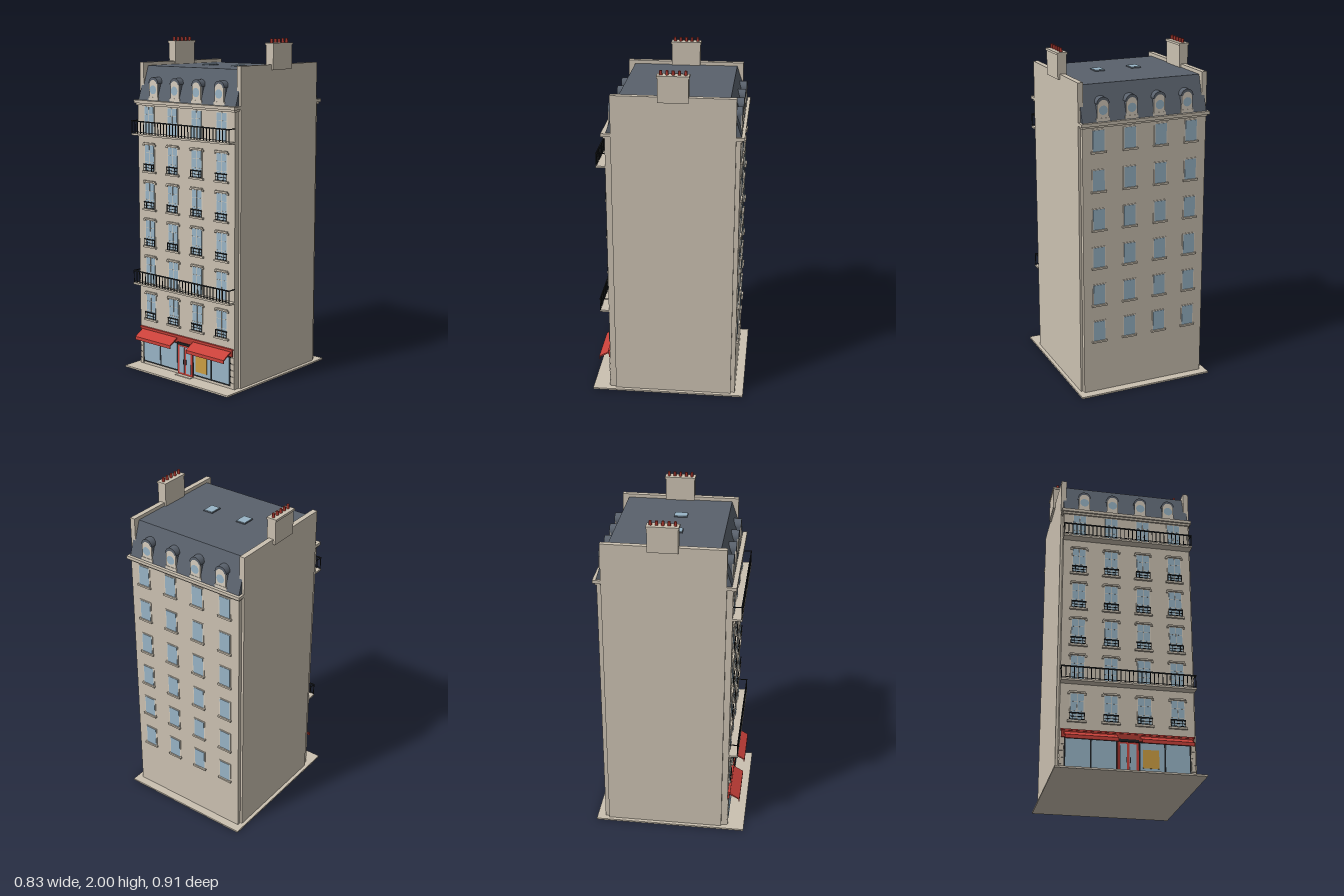
import * as THREE from 'three';

const mat = (name, color) => {
  const m = new THREE.MeshStandardMaterial({ color });
  m.name = name;
  return m;
};

export function createModel() {
  const stone = mat('stone', 0xcbc1b1);
  const trim = mat('paleTrim', 0xd6cdbe);
  const slate = mat('slate', 0x59616c);
  const iron = mat('blackIron', 0x1f2224);
  const glass = mat('glass', 0x98b4c6);
  const red = mat('redPaint', 0xc9413a);
  const darkRed = mat('darkRed', 0xb03a31);
  const gold = mat('goldPoster', 0xcb9e43);

  const model = new THREE.Group();
  model.name = 'townhouse';

  const add = (parent, name, geo, m, x = 0, y = 0, z = 0) => {
    const mesh = new THREE.Mesh(geo, m);
    mesh.name = name;
    mesh.position.set(x, y, z);
    parent.add(mesh);
    return mesh;
  };
  // box given by its min and max on each axis
  const box = (parent, name, m, x0, x1, y0, y1, z0, z1) =>
    add(parent, name, new THREE.BoxGeometry(x1 - x0, y1 - y0, z1 - z0), m,
      (x0 + x1) / 2, (y0 + y1) / 2, (z0 + z1) / 2);
  // [z, y] profile swept along x
  const sweep = (parent, name, m, pts, width, x = 0) => {
    const shape = new THREE.Shape(pts.map(p => new THREE.Vector2(...p)));
    const geo = new THREE.ExtrudeGeometry(shape, { depth: width, bevelEnabled: false });
    geo.translate(0, 0, -width / 2).rotateY(-Math.PI / 2);
    return add(parent, name, geo, m, x);
  };
  const group = (name, x = 0, y = 0, z = 0, parent = model) => {
    const g = new THREE.Group();
    g.name = name;
    g.position.set(x, y, z);
    parent.add(g);
    return g;
  };

  const FRONT = 0.352, BACK = -0.405;
  const columns = [-0.285, -0.095, 0.095, 0.285];
  const floorY = i => 0.3 + 0.2275 * i;

  // Pavement, main block and party walls
  box(model, 'pavement', stone, -0.415, 0.415, 0, 0.01, -0.455, 0.455);
  box(model, 'mainBlock', stone, -0.38, 0.38, 0.01, 1.62, BACK, FRONT);
  for (const s of [-1, 1]) {
    const p = box(model, 'partyWall', stone, -0.0155, 0.0155, 0.01, 1.855, -0.38, 0.317);
    p.position.x = s * 0.3785;
  }

  // Cornices in two steps, front and back
  box(model, 'frontCornice', stone, -0.394, 0.394, 1.617, 1.635, 0.317, 0.372);
  box(model, 'frontCorniceLower', stone, -0.386, 0.386, 1.605, 1.617, 0.32, 0.362);
  box(model, 'backCornice', stone, -0.394, 0.394, 1.617, 1.635, -0.427, -0.38);
  box(model, 'backCorniceLower', stone, -0.386, 0.386, 1.605, 1.617, -0.415, -0.383);

  // Mansard roof
  sweep(model, 'mansardRoof', slate,
    [[-0.41, 1.632], [0.347, 1.632], [0.278, 1.835], [-0.342, 1.835]], 0.76);
  for (const x of [-0.114, 0.114]) {
    box(model, 'skylightFrame', slate, x - 0.031, x + 0.031, 1.83, 1.84, -0.035, 0.043);
    box(model, 'skylightGlass', glass, x - 0.028, x + 0.028, 1.84, 1.843, -0.032, 0.04);
  }

  // Dormers, modelled facing +z with the face at z = 0
  const dormer = (x, z, turn) => {
    const d = group('dormer', x, 0, z);
    d.rotation.y = turn;
    box(d, 'dormerBody', slate, -0.032, 0.032, 1.635, 1.735, -0.06, -0.004);
    box(d, 'dormerFace', trim, -0.034, 0.034, 1.64, 1.74, -0.006, 0);
    box(d, 'dormerFoot', trim, -0.04, 0.04, 1.637, 1.655, -0.008, 0.002);
    const hood = new THREE.CylinderGeometry(0.038, 0.038, 0.055, 20, 1, false, -Math.PI / 2, Math.PI);
    hood.rotateX(-Math.PI / 2);
    add(d, 'dormerHood', hood, slate, 0, 1.734, -0.0265);
    const arch = new THREE.CircleGeometry(0.029, 16, 0, Math.PI);
    add(d, 'dormerArch', arch, trim, 0, 1.727, 0.0025);
    add(d, 'roundWindow', new THREE.CircleGeometry(0.026, 20), glass, 0, 1.699, 0.004);
  };
  for (const x of [-0.257, -0.085, 0.085, 0.257]) {
    dormer(x, 0.344, 0);
    dormer(x, -0.407, Math.PI);
  }

  // Chimneys with pots
  for (const s of [-1, 1]) {
    const c = group('chimney', s * 0.38);
    box(c, 'chimneyStack', stone, -0.027, 0.027, 1.825, 1.965, -0.118, 0.053);
    box(c, 'chimneyCap', stone, -0.031, 0.031, 1.963, 1.976, -0.122, 0.057);
    for (let i = 0; i < 5; i++)
      add(c, 'chimneyPot', new THREE.CylinderGeometry(0.008, 0.009, 0.026, 6), darkRed,
        0, 1.987, -0.1005 + i * 0.034);
  }

  // Upper windows on the street side
  const frontWindow = (x, y, i) => {
    const w = group('frontWindow', x, y, FRONT);
    box(w, 'windowSurround', trim, -0.042, 0.042, 0, 0.165, 0, 0.002);
    box(w, 'windowGlass', glass, -0.037, 0.037, 0, 0.16, 0.001, 0.004);
    box(w, 'windowMullion', trim, -0.0015, 0.0015, 0, 0.16, 0.002, 0.0055);
    for (const h of [0.06, 0.115])
      box(w, 'windowBar', trim, -0.037, 0.037, h - 0.001, h + 0.001, 0.002, 0.005);
    if (i < 5) {
      box(w, 'lintel', stone, -0.046, 0.046, 0.165, 0.175, 0, 0.011);
      for (const s of [-1, 1])
        box(w, 'lintelBracket', stone, s * 0.047 - 0.006, s * 0.047 + 0.006, 0.156, 0.167, 0, 0.008);
    }
    if (i === 1 || i === 5) return;
    box(w, 'sill', stone, -0.053, 0.053, -0.006, 0.005, 0, 0.013);
    // Window guard
    box(w, 'guardTopRail', iron, -0.043, 0.043, 0.042, 0.049, 0.008, 0.013);
    box(w, 'guardBottomRail', iron, -0.043, 0.043, 0.008, 0.011, 0.009, 0.012);
    for (const bx of [-0.041, -0.023, 0.023, 0.041])
      box(w, 'guardBar', iron, bx - 0.0014, bx + 0.0014, 0.005, 0.045, 0.009, 0.012);
    box(w, 'guardMiddleRail', iron, -0.041, 0.041, 0.024, 0.027, 0.009, 0.012);
  };
  // Plain windows at the rear
  const backWindow = (x, y) => {
    const w = group('backWindow', x, y, BACK);
    w.rotation.y = Math.PI;
    box(w, 'windowSurround', trim, -0.041, 0.041, 0, 0.128, 0, 0.003);
    box(w, 'windowGlass', glass, -0.035, 0.035, 0, 0.122, 0.001, 0.005);
    box(w, 'sill', stone, -0.046, 0.046, -0.008, 0.003, 0, 0.013);
  };
  for (let i = 0; i < 6; i++)
    for (const x of columns) {
      frontWindow(x, floorY(i), i);
      backWindow(x, floorY(i) + 0.03);
    }

  // Full-width balconies
  for (const i of [1, 5]) {
    const b = group('balcony', 0, floorY(i), 0);
    box(b, 'balconySlab', stone, -0.384, 0.384, -0.009, 0.002, FRONT, 0.406);
    box(b, 'balconyTopRail', iron, -0.384, 0.384, 0.072, 0.079, 0.399, 0.405);
    box(b, 'balconyBottomRail', iron, -0.384, 0.384, 0.01, 0.013, 0.4, 0.403);
    for (let k = 0; k <= 32; k++) {
      const x = -0.381 + k * 0.762 / 32;
      box(b, 'baluster', iron, x - 0.002, x + 0.002, 0, 0.074, 0.4, 0.404);
    }
    for (const s of [-1, 1])
      box(b, 'balconyEndRail', iron, s * 0.381 - 0.002, s * 0.381 + 0.002, 0.074, 0.079, FRONT, 0.402);
  }

  // Shopfront
  const shop = group('shopfront');
  box(shop, 'fascia', darkRed, -0.37, 0.37, 0.205, 0.247, FRONT, 0.362);
  box(shop, 'fasciaMoulding', red, -0.373, 0.373, 0.242, 0.25, FRONT, 0.366);
  for (const s of [-1, 1]) {
    const cx = s * 0.206;
    box(shop, 'shopFrame', iron, cx - 0.147, cx + 0.147, 0.025, 0.205, FRONT, 0.355);
    for (const p of [-1, 1])
      box(shop, 'shopGlass', glass, cx + p * 0.0715 - 0.067, cx + p * 0.0715 + 0.067,
        0.036, 0.197, 0.353, 0.358);
    sweep(shop, 'awning', red, [[0.352, 0.23], [0.418, 0.192], [0.418, 0.178],
      [0.423, 0.178], [0.423, 0.198], [0.352, 0.24]], 0.292, s * 0.211);
    // Rusticated corner pier
    for (let k = 0; k < 5; k++)
      box(shop, 'pierBlock', stone, s * 0.367 - 0.012, s * 0.367 + 0.012,
        0.014 + k * 0.038, 0.046 + k * 0.038, FRONT, 0.357);
  }
  box(shop, 'poster', gold, 0.082, 0.172, 0.055, 0.16, 0.357, 0.36);

  // Double door
  const door = group('door');
  box(door, 'doorFrame', red, -0.058, 0.058, 0.01, 0.197, FRONT, 0.36);
  box(door, 'doorHead', iron, -0.058, 0.058, 0.197, 0.212, FRONT, 0.367);
  for (const s of [-1, 1]) {
    box(door, 'doorGlass', glass, s * 0.026 - 0.019, s * 0.026 + 0.019, 0.025, 0.187, 0.358, 0.362);
    box(door, 'doorHandle', iron, s * 0.01 - 0.002, s * 0.01 + 0.002, 0.08, 0.11, 0.36, 0.367);
  }
  box(door, 'doorStep', stone, -0.06, 0.06, 0.005, 0.014, FRONT, 0.385);

  return model;
}
